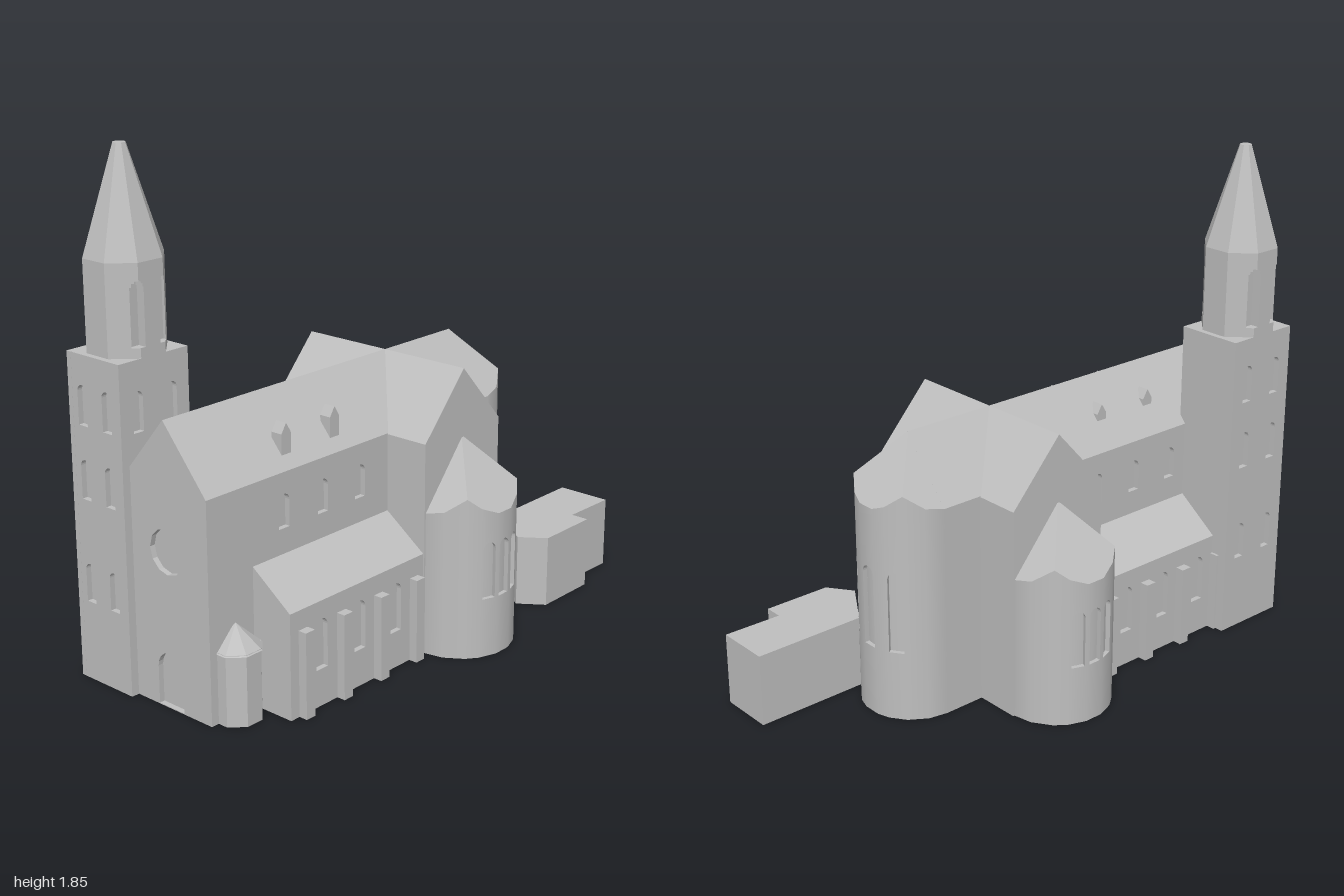
import * as THREE from 'three';

const DEG = Math.PI / 180, PITCH = 1.18, RECESS = 0.02;

export function createModel() {
  const root = new THREE.Group();
  root.name = 'church';
  const stone = new THREE.MeshStandardMaterial({ color: 0xbfbfbf });
  stone.name = 'grey stone';

  const add = (name, geo, parent = root) => {
    const m = new THREE.Mesh(geo, stone);
    m.name = name;
    parent.add(m);
    return m;
  };
  const poly = pts => new THREE.Shape(pts.map(p => new THREE.Vector2(p[0], p[1])));
  const rect = (w, h) => [[-w / 2, 0], [w / 2, 0], [w / 2, h], [-w / 2, h]];
  const extrude = (shape, depth) =>
    new THREE.ExtrudeGeometry(shape, { depth, bevelEnabled: false, curveSegments: 6 });
  const faceted = geo => {
    const g = geo.toNonIndexed();
    g.computeVertexNormals();
    return g;
  };
  const box = (name, x0, x1, y0, y1, z0, z1) => add(name,
    new THREE.BoxGeometry(x1 - x0, y1 - y0, z1 - z0)
      .translate((x0 + x1) / 2, (y0 + y1) / 2, (z0 + z1) / 2));

  // Round-headed opening
  const arch = (cx, y0, y1, w) => {
    const p = new THREE.Path(), r = w / 2;
    p.moveTo(cx - r, y0);
    p.lineTo(cx + r, y0);
    p.lineTo(cx + r, y1 - r);
    p.absarc(cx, y1 - r, r, 0, Math.PI, false);
    p.lineTo(cx - r, y0);
    return p;
  };
  // Wall skin with openings; its outer face lies on local z = 0
  const panelGeo = (pts, holes) => {
    const s = poly(pts);
    s.holes.push(...holes);
    return extrude(s, RECESS).translate(0, 0, -RECESS);
  };
  const wall = (name, pts, holes, x, z, ry) =>
    add(name, panelGeo(pts, holes).rotateY(ry).translate(x, 0, z));
  // Prism along x from a (z, y) profile
  const prismX = (name, pts, x0, x1) => add(name,
    extrude(poly(pts.map(([z, y]) => [-z, y])), x1 - x0).rotateY(Math.PI / 2).translate(x0, 0, 0));
  const gable = (hw, eave, ridge) => [[-hw, 0], [hw, 0], [hw, eave], [0, ridge], [-hw, eave]];

  // Nave: core with roof, then pierced wall skins
  const EAVE = 0.786, RIDGE = 1.01;
  prismX('naveCore', [[-0.17, 0], [0.17, 0], [0.17, 0.76], [0.19, 0.76], [0.19, EAVE],
    [0, RIDGE], [-0.19, EAVE], [-0.19, 0.76], [-0.17, 0.76]], -0.95, 0.47);
  const bays = [-0.62, -0.432, -0.245];
  for (const s of [1, -1]) {
    const ry = s > 0 ? 0 : Math.PI;
    wall('naveWall', rect(1.42, 0.76),
      bays.map(x => arch((x + 0.24) * s, 0.59, 0.71, 0.05)), -0.24, 0.19 * s, ry);

    // Side aisle with lean-to roof, windows and buttresses
    const x0 = s > 0 ? -0.77 : -0.72, mid = (x0 - 0.1) / 2;
    prismX('aisle', [[0.16, 0], [0.335, 0], [0.335, 0.36], [0.355, 0.36], [0.355, 0.38],
      [0.19, 0.5], [0.16, 0.5]].map(([z, y]) => [z * s, y]), x0, -0.1);
    wall('aisleWall', rect(-0.1 - x0, 0.36),
      bays.map(x => arch((x - mid) * s, 0.135, 0.315, 0.055)), mid, 0.355 * s, ry);
    for (const x of [-0.71, -0.525, -0.338, -0.15])
      box('buttress', x - 0.021, x + 0.021, 0, 0.31,
        s > 0 ? 0.35 : -0.388, s > 0 ? 0.388 : -0.35);

    // Dormers
    for (const x of [-0.57, -0.335])
      add('dormer', extrude(poly([[-0.022, 0.81], [0.022, 0.81], [0.022, 0.9], [0, 0.935],
        [-0.022, 0.9]]), 0.045).translate(x, 0, s > 0 ? 0.11 : -0.115));
  }

  // West front with rose window and door
  const rose = new THREE.Path();
  rose.absarc(0, 0.56, 0.08, 0, Math.PI * 2, false);
  wall('westFront', gable(0.19, EAVE, RIDGE), [rose, arch(0, 0.003, 0.2, 0.12)],
    -0.97, 0, -Math.PI / 2);

  // Transept
  add('transept', extrude(poly(gable(0.205, EAVE - 0.003, RIDGE)), 0.72).translate(0.105, 0, -0.36));

  // Round apse with a hipped roof trimmed by the curved wall
  const apse = (name, x, z, ry, r, top, angles, windows, sill, head, width) => {
    const g = new THREE.Group();
    g.name = name;
    g.position.set(x, 0, z);
    g.rotation.y = ry;
    root.add(g);
    const point = a => {
      const px = r * Math.sin(a * DEG), pz = r * Math.cos(a * DEG);
      return [px, top - PITCH * Math.max(Math.abs(px), pz), pz];
    };
    const roof = [];
    for (let i = 0; i < angles.length - 1; i++) {
      const a0 = angles[i], a1 = angles[i + 1], p0 = point(a0), p1 = point(a1);
      const half = (a1 - a0) / 2 * DEG, mid = (a0 + a1) / 2, w = r * Math.sin(half);
      roof.push(0, top, 0, ...p0, ...p1);
      const geo = panelGeo([[-w, 0], [w, 0], [w, p1[1]], [-w, p0[1]]],
        windows.includes(mid) ? [arch(0, sill, head, width)] : [])
        .translate(0, 0, r * Math.cos(half)).rotateY(mid * DEG);
      // Smooth the outer face around the curve
      const P = geo.attributes.position, N = geo.attributes.normal;
      const out = new THREE.Vector3(Math.sin(mid * DEG), 0, Math.cos(mid * DEG));
      const n = new THREE.Vector3();
      for (let k = 0; k < P.count; k++) {
        if (n.fromBufferAttribute(N, k).dot(out) < 0.99) continue;
        n.set(P.getX(k), 0, P.getZ(k)).normalize();
        N.setXYZ(k, n.x, n.y, n.z);
      }
      add('apseWall', geo, g);
    }
    const roofGeo = new THREE.BufferGeometry();
    roofGeo.setAttribute('position', new THREE.Float32BufferAttribute(roof, 3));
    roofGeo.computeVertexNormals();
    add('apseRoof', roofGeo, g);
    const h = top - PITCH * r - 0.01;
    add('apseCore', new THREE.CylinderGeometry(r - 0.018, r - 0.018, h, 36).translate(0, h / 2, 0), g);
  };
  const sideAngles = [-90, -68, -45, -30, -10, 10, 30, 45, 68, 90];
  const eastAngles = [-90, -68, -45, -25, -10, 10, 25, 45, 68, 90];
  apse('frontApse', 0.105, 0.355, 0, 0.2, 0.765, sideAngles, [-20, 0, 20], 0.22, 0.43, 0.05);
  apse('backApse', 0.105, -0.355, Math.PI, 0.2, 0.765, sideAngles, [-20, 0, 20], 0.22, 0.43, 0.05);
  apse('eastApse', 0.468, 0, Math.PI / 2, 0.19, RIDGE, eastAngles, [-35, 0, 35], 0.26, 0.565, 0.055);

  // Tower with pierced skins on three sides
  const TOP = 1.165, TX = -0.85, TZ = -0.292;
  box('towerCore', -0.98, -0.7, 0, TOP, -0.4, -0.185);
  const rows = [[0.29, 0.43], [0.66, 0.8], [0.92, 1.06]];
  const grid = (c, w, list) => list.flatMap(([a, b]) => [-c, c].map(x => arch(x, a, b, w)));
  wall('towerBack', rect(0.3, TOP), grid(0.074, 0.044, rows), TX, -0.42, Math.PI);
  wall('towerFront', rect(0.3, TOP), grid(0.074, 0.044, rows.slice(2)), TX, -0.165, 0);
  wall('towerWest', rect(0.215, TOP), grid(0.06, 0.044, rows), -1, TZ, -Math.PI / 2);

  // Octagonal belfry: stacked slices, notched at four corners for the openings
  const a = 0.128, s = 0.053, d = 0.095;
  const slice = (y0, y1, hw) => {
    const q = hw ? [[a, s], [s + hw, a - hw], [s + hw, d], [s - hw, d], [s - hw, a]] : [[a, s], [s, a]];
    const r = [...q].reverse();
    const pts = [...q, ...r.map(([x, y]) => [-x, y]), ...q.map(([x, y]) => [-x, -y]),
      ...r.map(([x, y]) => [x, -y])];
    add('belfry', extrude(poly(pts), y1 - y0).rotateX(-Math.PI / 2).translate(TX, y0, TZ));
  };
  slice(TOP, 1.2, 0);
  slice(1.2, 1.4, 0.021);
  slice(1.4, 1.412, 0.017);
  slice(1.412, 1.42, 0.01);
  slice(1.42, 1.48, 0);
  add('spire', faceted(new THREE.CylinderGeometry(0.022, a / Math.cos(Math.PI / 8), 0.365, 8)
    .rotateY(Math.PI / 8).translate(TX, 1.6625, TZ)));

  // Stair turret beside the west front
  add('turret', faceted(new THREE.CylinderGeometry(0.088, 0.088, 0.255, 8)
    .rotateY(Math.PI / 8).translate(-0.858, 0.1275, 0.195)));
  add('turretRoof', faceted(new THREE.ConeGeometry(0.092, 0.085, 8)
    .rotateY(Math.PI / 8).translate(-0.858, 0.2925, 0.195)));

  // Low annex
  const plan = [[0.46, 0.35], [0.575, 0.17], [1, 0.17], [1, 0.378], [0.78, 0.373], [0.78, 0.442], [0.525, 0.442]];
  add('annex', extrude(poly(plan.map(([x, z]) => [x, -z])), 0.27).rotateX(-Math.PI / 2));

  return root;
}
